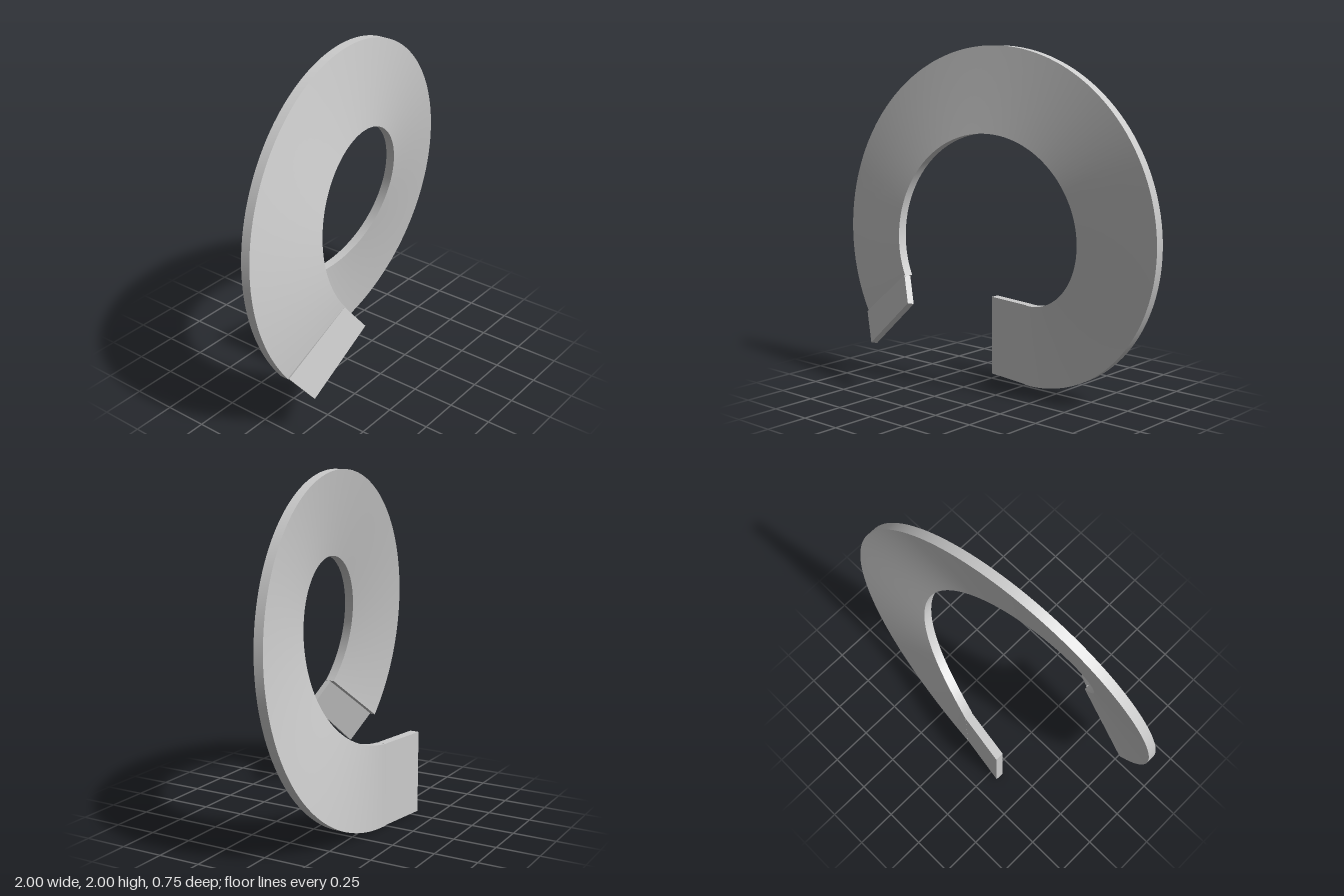
import * as THREE from 'three';
import { toCreasedNormals } from 'three/addons/utils/BufferGeometryUtils.js';

const INNER = 0.516, OUTER = 1, THICK = 0.055;
const START = -Math.PI / 2, SWEEP = THREE.MathUtils.degToRad(306.5);

// Skin a row of four-cornered sections: inner back, outer back, outer front, inner front
function sweep(name, sections) {
  const index = [];
  for (let i = 0; i < sections.length - 1; i++) {
    for (let k = 0; k < 4; k++) {
      const a = i * 4 + k, b = i * 4 + (k + 1) % 4;
      index.push(a, a + 4, b, b, a + 4, b + 4);
    }
  }
  const e = (sections.length - 1) * 4;
  index.push(0, 1, 2, 0, 2, 3, e, e + 2, e + 1, e, e + 3, e + 2);
  const geometry = new THREE.BufferGeometry();
  geometry.setAttribute('position', new THREE.Float32BufferAttribute(sections.flat(2), 3));
  geometry.setIndex(index);
  const material = new THREE.MeshStandardMaterial({ color: 0xcccccc });
  const mesh = new THREE.Mesh(toCreasedNormals(geometry, 0.5), material);
  mesh.name = name;
  return mesh;
}

// Section from its two back corners and the offset to the front face
function section(inner, outer, offset) {
  const shift = (p) => p.map((v, i) => v + offset[i]);
  return [inner, outer, shift(outer), shift(inner)];
}

// Helical strip whose inner edge gradually banks forward
function rampSection(u) {
  const angle = START + SWEEP * u;
  const z = -0.298 + 0.503 * u - THICK / 2;
  const bank = 0.08 * (1 - Math.exp(-4 * u));
  const at = (r, depth) => [r * Math.cos(angle), 1 + r * Math.sin(angle), depth];
  return section(at(INNER, z + bank), at(OUTER, z), [0, 0, THICK]);
}

export function createModel() {
  const group = new THREE.Group();
  group.name = 'helicalRamp';

  // Curved ramp
  const steps = 120;
  group.add(sweep('ramp', Array.from({ length: steps + 1 }, (_, i) => rampSection(i / steps))));

  // Upright straight piece at the lower end
  const lower = [0.008, 0, 0.053];
  group.add(sweep('startLanding', [
    section([-0.31, 0.485, -0.375], [-0.31, 0.003, -0.375], lower),
    section([0, 0.485, -0.325], [0, 0.003, -0.325], lower),
  ].map((s) => s.map(([x, y, z]) => [x - (z > -0.35 && x < -0.2 ? 0.008 : 0), y, z]))));

  // Steeper tilted straight piece at the far end
  const upper = [-0.012, 0.008, 0.035];
  group.add(sweep('endLanding', [
    section([-0.41, 0.69, 0.276], [-0.8, 0.41, 0.208], upper),
    section([-0.315, 0.55, 0.345], [-0.685, 0.25, 0.287], upper),
  ]));
  return group;
}
